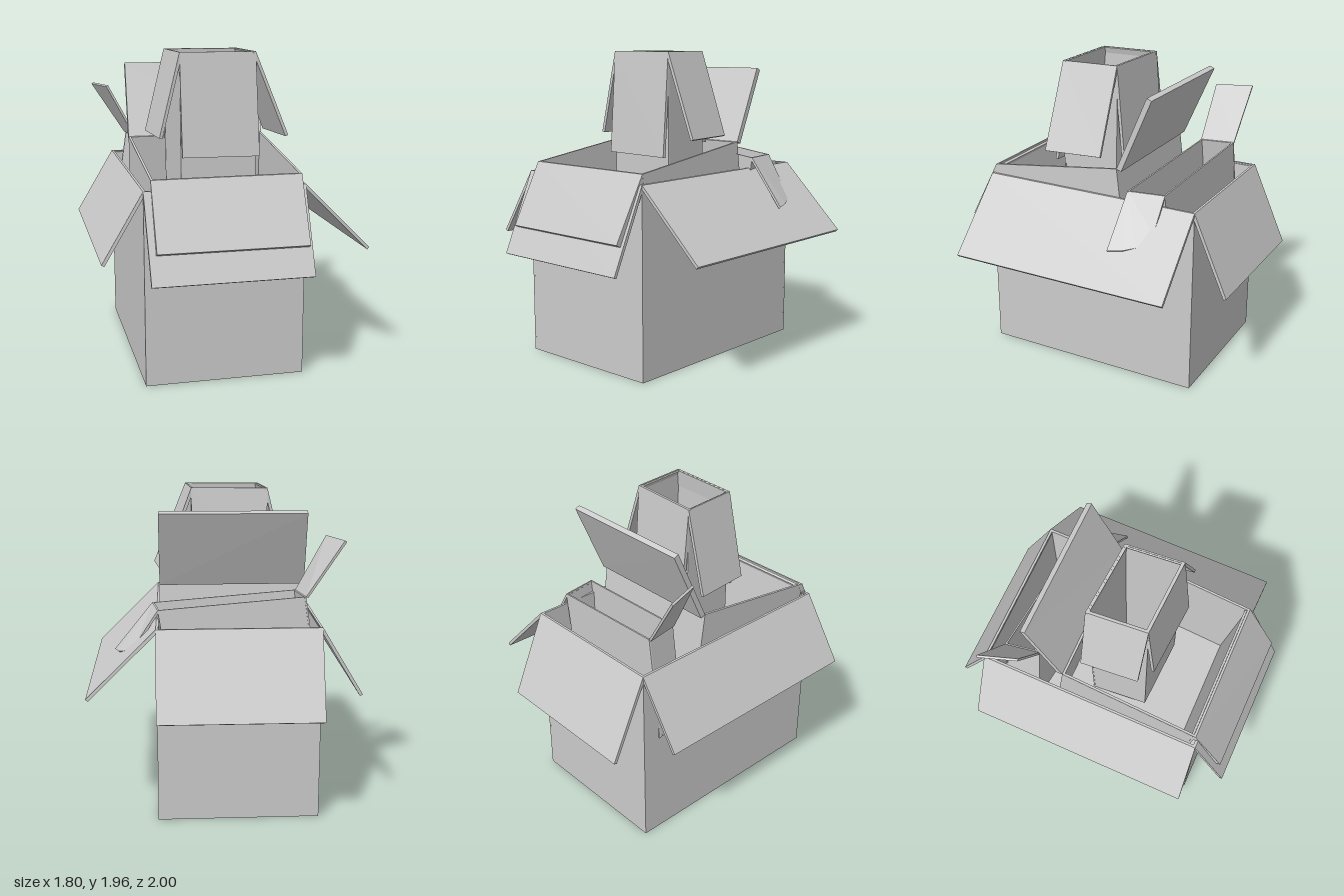
import * as THREE from 'three';

const material = new THREE.MeshStandardMaterial({ color: 0xcccccc, flatShading: true, side: THREE.DoubleSide });

// Flat board: convex outline (counter-clockwise seen from outside), thickened inwards
function board(name, outline, thickness) {
  const p = outline.map((c) => new THREE.Vector3(...c));
  const last = p.length - 1;
  const n = p[1].clone().sub(p[0]).cross(p[last].clone().sub(p[0])).normalize();
  const q = p.map((v) => v.clone().addScaledVector(n, -thickness));
  const pos = [];
  const tri = (...v) => v.forEach((a) => pos.push(a.x, a.y, a.z));
  for (let i = 1; i < last; i++) {
    tri(p[0], p[i], p[i + 1]);
    tri(q[0], q[i + 1], q[i]);
  }
  p.forEach((a, i) => {
    const j = (i + 1) % p.length;
    tri(p[i], q[i], q[j]);
    tri(p[i], q[j], p[j]);
  });
  const geometry = new THREE.BufferGeometry();
  geometry.setAttribute('position', new THREE.Float32BufferAttribute(pos, 3));
  geometry.computeVertexNormals();
  const mesh = new THREE.Mesh(geometry, material);
  mesh.name = name;
  return mesh;
}

const SIDES = ['front', 'right', 'back', 'left'];

// Open carton: rim and floor corners run front-left, front-right, back-right,
// back-left as seen in the front; flaps give the outer points beyond each rim edge
function carton({ name, rim, floor, flaps, wall = 0.015, flapThickness = 0.02 }) {
  const group = new THREE.Group();
  group.name = name;
  group.add(board('floor', [...floor].reverse(), wall));
  SIDES.forEach((side, i) => {
    const j = (i + 1) % 4;
    group.add(board(side + 'Wall', [floor[i], floor[j], rim[j], rim[i]], wall));
    if (flaps[side]) group.add(board(side + 'Flap', [rim[i], ...flaps[side], rim[j]], flapThickness));
  });
  return group;
}

const lower = (corners, dx, dy, dz) => corners.map(([x, y, z]) => [x + dx, y + dy, z + dz]);

export function createModel() {
  const model = new THREE.Group();
  model.name = 'nestedCartons';

  // Large outer carton with all four flaps folded down
  const outerRim = [[-0.5, 1.2, 0.775], [0.48, 1.2, 0.67], [0.33, 1.2, -0.775], [-0.65, 1.2, -0.67]];
  model.add(carton({
    name: 'outerCarton',
    rim: outerRim,
    floor: lower(outerRim, 0, -1.2, 0),
    flaps: {
      front: [[-0.47, 0.69, 1.0], [0.5, 0.69, 0.9]],
      right: [[0.9, 0.78, 0.62], [0.75, 0.78, -0.82]],
      back: [[0.31, 0.69, -1.0], [-0.67, 0.69, -0.9]],
      left: [[-0.9, 0.78, -0.63], [-0.75, 0.78, 0.82]],
    },
  }));

  // Middle carton, tipped forward, front flap down and back flap up
  const middleRim = [[-0.455, 1.26, 0.75], [0.46, 1.26, 0.65], [0.365, 1.38, -0.24], [-0.545, 1.38, -0.14]];
  model.add(carton({
    name: 'middleCarton',
    rim: middleRim,
    floor: lower(middleRim, 0, -0.85, -0.11),
    flaps: {
      front: [[-0.435, 0.87, 0.95], [0.475, 0.87, 0.86]],
      back: [[0.345, 1.85, -0.44], [-0.555, 1.85, -0.35]],
    },
    flapThickness: 0.035,
  }));

  // Small tall carton standing inside the middle one
  const smallRim = [[-0.24, 1.96, 0.28], [0.24, 1.96, 0.25], [0.17, 1.96, -0.11], [-0.31, 1.96, -0.09]];
  model.add(carton({
    name: 'smallCarton',
    rim: smallRim,
    floor: lower(smallRim, 0.01, -1.44, 0),
    flaps: {
      front: [[-0.23, 1.31, 0.33], [0.26, 1.31, 0.31]],
      right: [[0.455, 1.43, 0.24], [0.37, 1.43, -0.12]],
      back: [[0.16, 1.37, -0.16], [-0.31, 1.37, -0.14]],
      left: [[-0.44, 1.43, -0.07], [-0.37, 1.43, 0.29]],
    },
    wall: 0.01,
  }));

  // Narrow carton at the back, leaning sideways, one flap up and one rounded flap down
  const narrowRim = [[-0.49, 1.36, -0.34], [0.4, 1.27, -0.345], [0.34, 1.27, -0.575], [-0.55, 1.36, -0.555]];
  model.add(carton({
    name: 'narrowCarton',
    rim: narrowRim,
    floor: lower(narrowRim, -0.1, -0.65, 0),
    flaps: {
      right: [[0.64, 0.97, -0.36], [0.605, 0.98, -0.45], [0.56, 1.0, -0.52], [0.515, 1.03, -0.56], [0.47, 1.07, -0.58]],
      left: [[-0.77, 1.7, -0.56], [-0.67, 1.7, -0.34]],
    },
    wall: 0.01,
    flapThickness: 0.015,
  }));

  return model;
}
